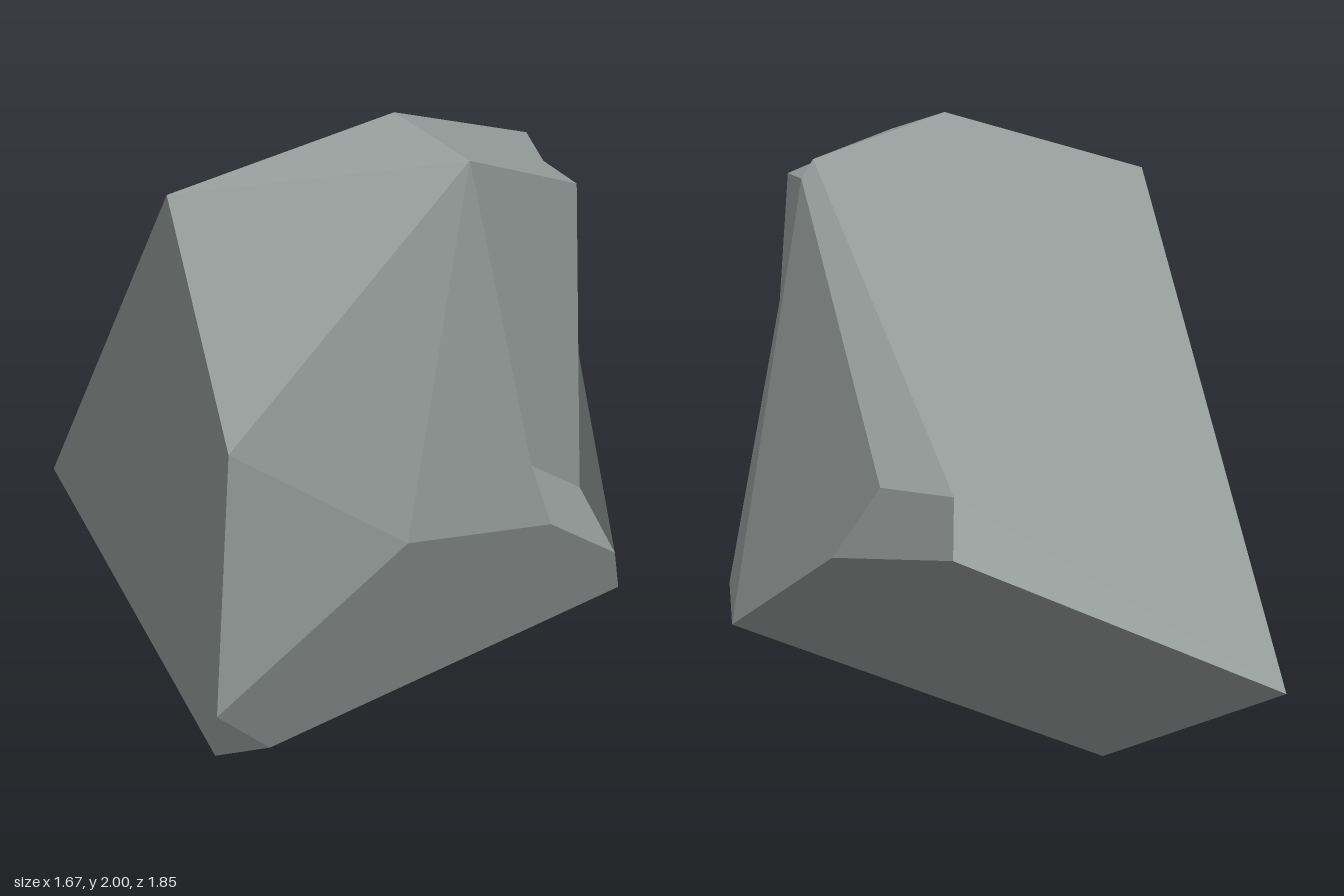
import * as THREE from 'three';

// Corners of the boulder, grouped by where they sit
const corners = {
  // crown
  crownLeft: [-0.45, 1.82, 0.67], crownFront: [0.34, 1.93, 0.77], peak: [0.16, 2.0, 0.535],
  crownBack: [0.545, 1.875, 0.3], crownSide: [0.587, 1.81, 0.363], crownRight: [0.65, 1.807, 0.577],
  // front bulge
  brow: [-0.3, 1.18, 0.925], nose: [0.18, 0.9, 0.887], chin: [-0.34, 0.4, 0.9], heel: [-0.19, 0.22, 0.74],
  // base
  foot: [-0.34, 0, 0.36], baseRight: [0.8, 0.46, 0.187], hip: [0.833, 0.54, 0.407],
  // back
  tailLeft: [-0.835, 0.5, -0.697], tailTip: [0.07, 0.92, -0.925], tailTop: [0.07, 1.08, -0.865],
  tailSide: [0.272, 1.09, -0.79], tailLow: [0.42, 0.853, -0.603],
  // chipped notch
  chipTop: [0.543, 1.01, 0.62], chipFront: [0.595, 0.855, 0.672],
  chipBack: [0.708, 0.862, 0.425], chipLow: [0.8, 0.7, 0.525],
};

// Facets, counter-clockwise from outside. Each is fanned from its first corner;
// fans joined by | belong to one facet and share its normal.
const facets = {
  crown: ['crownLeft crownFront peak', 'crownFront crownRight crownSide crownBack peak'],
  frontFace: [
    'crownLeft brow crownFront', 'brow nose crownFront', 'brow chin nose',
    'nose chin heel hip chipLow chipFront', 'nose chipFront chipTop crownFront',
    'chipTop chipBack crownRight crownFront',
  ],
  chippedNotch: ['chipTop chipFront chipLow chipBack'],
  rightFace: [
    'crownSide crownRight chipBack chipLow hip baseRight',
    'crownSide baseRight tailLow tailSide', 'crownBack crownSide tailSide tailTop',
  ],
  leftFace: ['brow crownLeft tailLeft foot heel chin'],
  slopingBack: [
    'tailTop tailTip tailLeft crownLeft|crownLeft peak crownBack tailTop',
    'tailLow tailTip tailTop tailSide',
  ],
  underside: ['heel foot baseRight hip', 'foot tailLeft tailTip tailLow baseRight'],
};

function facetGeometry(polygons) {
  const positions = [];
  const normals = [];
  for (const polygon of polygons) {
    const triangles = [];
    for (const fan of polygon.split('|')) {
      const points = fan.split(' ').map((name) => new THREE.Vector3(...corners[name]));
      for (let i = 1; i < points.length - 1; i++) {
        triangles.push(new THREE.Triangle(points[0], points[i], points[i + 1]));
      }
    }
    // one area-weighted normal keeps the whole facet evenly shaded
    const normal = new THREE.Vector3();
    for (const t of triangles) {
      normal.addScaledVector(t.getNormal(new THREE.Vector3()), t.getArea());
    }
    normal.normalize();
    for (const t of triangles) {
      for (const corner of [t.a, t.b, t.c]) {
        positions.push(...corner);
        normals.push(...normal);
      }
    }
  }
  const geometry = new THREE.BufferGeometry();
  geometry.setAttribute('position', new THREE.Float32BufferAttribute(positions, 3));
  geometry.setAttribute('normal', new THREE.Float32BufferAttribute(normals, 3));
  return geometry;
}

export function createModel() {
  const rock = new THREE.Group();
  rock.name = 'rock';
  const stone = new THREE.MeshStandardMaterial({ color: 0x939a97 });
  stone.name = 'stoneGrey';

  for (const [name, polygons] of Object.entries(facets)) {
    const mesh = new THREE.Mesh(facetGeometry(polygons), stone);
    mesh.name = name;
    rock.add(mesh);
  }
  return rock;
}
